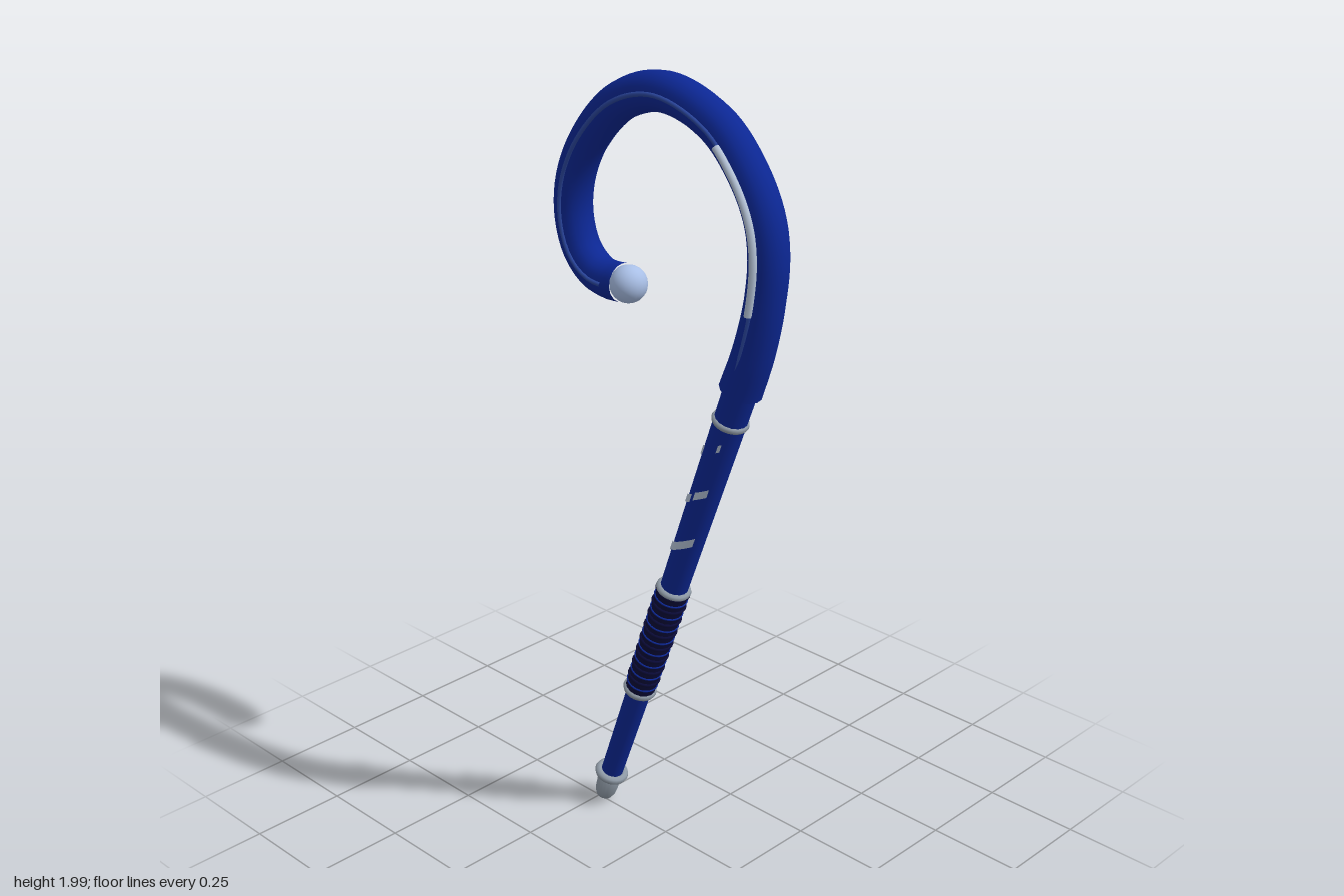
import * as THREE from 'three';

const mat = (name, color, side = THREE.FrontSide) => {
  const m = new THREE.MeshStandardMaterial({ color, side });
  m.name = name;
  return m;
};

export function createModel() {
  const blue = mat('royal blue', 0x0c2794);
  const ridgeBlue = mat('ridge blue', 0x2b479f);
  const navy = mat('dark navy', 0x0a0a38);
  const silver = mat('silver', 0x8f9aa6);
  const pale = mat('pale silver', 0xb4c2d6, THREE.DoubleSide);
  const pearl = mat('pearl blue', 0xa9bfe6);

  const model = new THREE.Group();
  model.name = 'hookedCane';
  const add = (parent, name, geometry, material) => {
    const mesh = new THREE.Mesh(geometry, material);
    mesh.name = name;
    parent.add(mesh);
    return mesh;
  };

  // Everything straight is built upright, then leaned 20 degrees
  const shaft = new THREE.Group();
  shaft.name = 'shaft';
  shaft.position.set(-0.206, 0.098, -0.005);
  shaft.rotation.z = -THREE.MathUtils.degToRad(20);
  model.add(shaft);
  const radiusAt = (s) => 0.029 + 0.0095 * s;

  const pole = add(shaft, 'pole', new THREE.CylinderGeometry(radiusAt(1.31), radiusAt(0), 1.31, 16), blue);
  pole.position.y = 0.655;

  // Rounded metal foot
  const foot = [[0, -0.096], [0.012, -0.094], [0.022, -0.086], [0.028, -0.07], [0.033, 0], [0, 0]];
  add(shaft, 'ferrule', new THREE.LatheGeometry(foot.map(([x, y]) => new THREE.Vector2(x, y)), 20), silver);

  const ring = (name, s, r, tube, material) => {
    const mesh = add(shaft, name, new THREE.TorusGeometry(r, tube, 8, 28), material);
    mesh.rotation.x = Math.PI / 2;
    mesh.position.y = s;
  };
  ring('footRing', 0, 0.034, 0.011, silver);
  ring('lowerGripRing', 0.318, 0.034, 0.01, silver);
  ring('upperGripRing', 0.669, 0.035, 0.01, silver);
  ring('neckRing', 1.199, 0.037, 0.009, silver);

  // Wrapped grip with fine ribs
  const grip = add(shaft, 'grip', new THREE.CylinderGeometry(0.041, 0.039, 0.34, 16), navy);
  grip.position.y = 0.494;
  for (let i = 0; i < 8; i++) {
    const s = 0.345 + i * 0.0425;
    ring('gripRib', s, 0.039 + 0.002 * i / 7, 0.0025, blue);
    ring('gripWrap', s + 0.021, 0.038 + 0.002 * i / 7, 0.005, navy);
  }

  // Slanted inlays wrapped on the front: [height, start angle, sweep, band height]
  const inlays = [
    [0.828, -1.15, 2.0, 0.026],
    [0.981, -1.1, 0.85, 0.024],
    [0.985, -0.05, 0.75, 0.024],
    [1.13, -0.8, 0.3, 0.026],
    [1.125, 0.38, 0.18, 0.022],
  ];
  for (const [s, start, sweep, height] of inlays) {
    const geo = new THREE.CylinderGeometry(radiusAt(s) + 0.003, radiusAt(s) + 0.003, height, 10, 1, true, start, sweep);
    const p = geo.attributes.position;
    for (let i = 0; i < p.count; i++) p.setY(i, p.getY(i) + 0.9 * p.getX(i));
    geo.computeVertexNormals();
    add(shaft, 'inlay', geo, pale).position.y = s;
  }

  // Curled hook
  const path = [
    [0.235, 1.31], [0.27, 1.405], [0.3, 1.527], [0.31, 1.64], [0.295, 1.725], [0.246, 1.815],
    [0.155, 1.905], [0, 1.953], [-0.137, 1.915], [-0.243, 1.818], [-0.3, 1.712], [-0.312, 1.617],
    [-0.286, 1.532], [-0.237, 1.487], [-0.19, 1.475], [-0.145, 1.477],
  ];
  const curve = new THREE.CatmullRomCurve3(path.map(([x, y]) => new THREE.Vector3(x, y, 0)));
  const STEPS = 80, SIDES = 16;
  const hookGeo = new THREE.TubeGeometry(curve, STEPS, 0.047, SIDES);
  const pos = hookGeo.attributes.position;
  const v = new THREE.Vector3();
  // Flare the tube slightly where it meets the shaft
  for (let i = 0; i <= STEPS; i++) {
    const t = i / STEPS;
    const c = curve.getPointAt(t);
    const k = 1 + 0.12 * Math.max(0, 1 - t / 0.15);
    for (let j = 0; j <= SIDES; j++) {
      const n = i * (SIDES + 1) + j;
      v.fromBufferAttribute(pos, n).sub(c).multiplyScalar(k).add(c);
      pos.setXYZ(n, v.x, v.y, v.z);
    }
  }
  add(model, 'hook', hookGeo, blue).position.z = -0.005;

  const cap = add(model, 'hookCap', new THREE.CircleGeometry(0.0526, SIDES), blue);
  cap.position.copy(curve.getPointAt(0)).setZ(-0.005);
  cap.lookAt(cap.position.clone().sub(curve.getTangentAt(0)));

  const ball = add(model, 'hookBall', new THREE.SphereGeometry(0.046, 20, 14), pearl);
  ball.position.set(-0.127, 1.478, -0.005);

  // Raised lines following the front of the hook
  const line = (name, from, to, z, r, material) => {
    const pts = [];
    for (let i = 0; i <= 40; i++) pts.push(curve.getPointAt(from + (to - from) * i / 40).setZ(z));
    const sub = new THREE.CatmullRomCurve3(pts);
    add(model, name, new THREE.TubeGeometry(sub, 70, r, 8), material);
  };
  line('hookRidge', 0.03, 0.98, 0.04, 0.006, ridgeBlue);
  line('hookHighlight', 0.135, 0.385, 0.047, 0.009, pale);

  return model;
}
